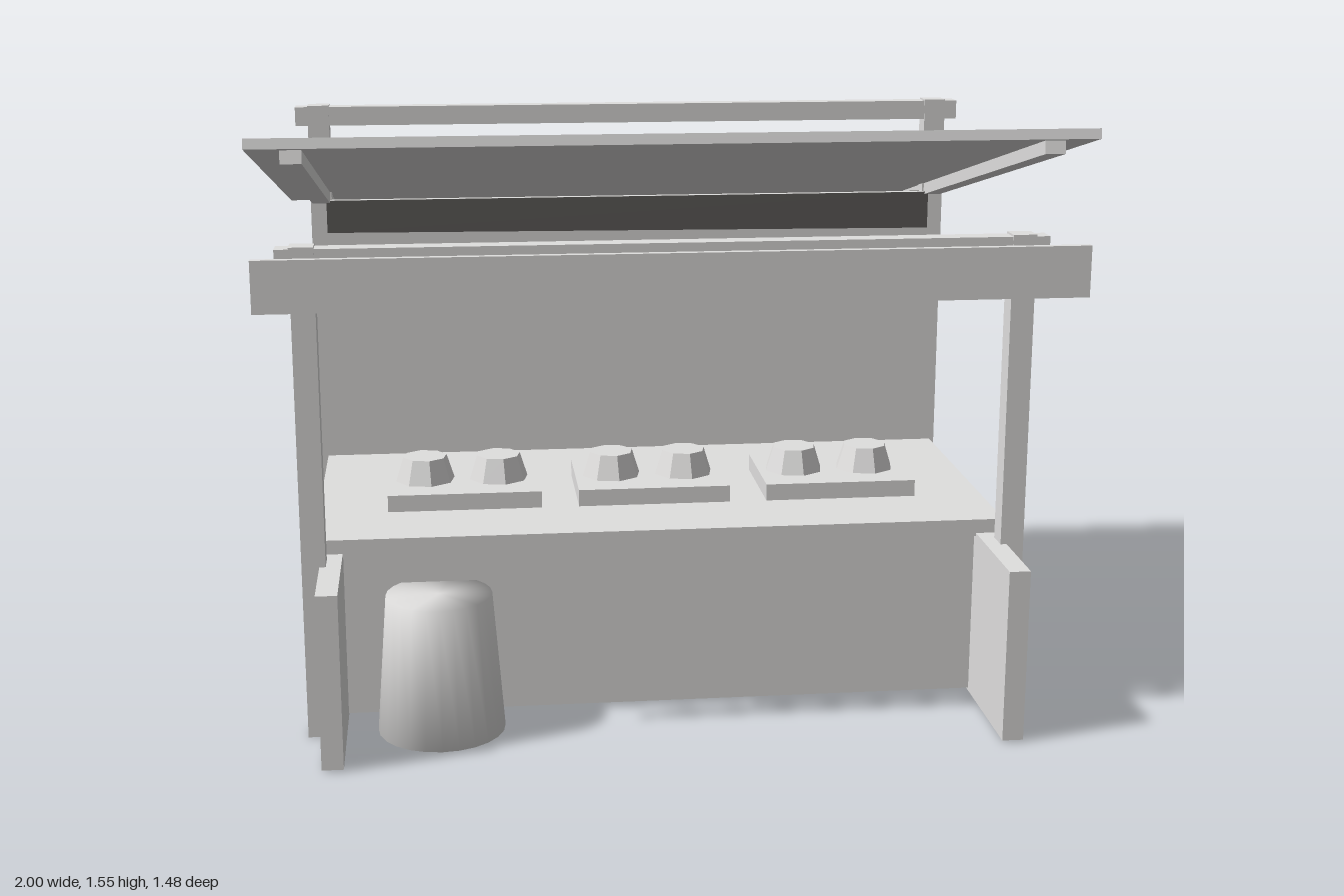
import * as THREE from 'three';

export function createModel() {
  const model = new THREE.Group();
  model.name = 'marketStall';
  const grey = new THREE.MeshStandardMaterial({ color: 0xe0dfde });
  grey.name = 'light grey';
  const dark = new THREE.MeshStandardMaterial({ color: 0x5f5d5a, side: THREE.DoubleSide });
  dark.name = 'dark grey';

  const add = (name, geometry, x, y, z, parent = model, material = grey) => {
    const mesh = new THREE.Mesh(geometry, material);
    mesh.name = name;
    mesh.position.set(x, y, z);
    parent.add(mesh);
    return mesh;
  };
  // Box given by its [min, max] range on each axis
  const box = (name, [x0, x1], [y0, y1], [z0, z1], parent = model, material = grey) =>
    add(name, new THREE.BoxGeometry(x1 - x0, y1 - y0, z1 - z0),
      (x0 + x1) / 2, (y0 + y1) / 2, (z0 + z1) / 2, parent, material);
  // Pair of boxes mirrored across x = 0
  const pair = (name, [x0, x1], y, z, parent = model) => {
    box(name + 'Left', [x0, x1], y, z, parent);
    box(name + 'Right', [-x1, -x0], y, z, parent);
  };
  // Flat painted patch from a few corner points
  const patch = points => new THREE.ShapeGeometry(
    new THREE.Shape(points.map(p => new THREE.Vector2(...p))));

  // Frame: posts and the beams across them
  pair('frontPost', [0.865, 0.925], [0, 1.265], [0.45, 0.51]);
  pair('backPost', [0.865, 0.925], [0, 1.51], [-0.51, -0.45]);
  box('frontBeam', [-0.96, 0.96], [1.205, 1.26], [0.453, 0.507]);
  box('backBeam', [-0.96, 0.96], [1.453, 1.506], [-0.507, -0.453]);

  // Sloping roof with a rafter under each side
  const roof = new THREE.Group();
  roof.name = 'roof';
  roof.position.y = 1.377;
  roof.rotation.x = -0.22;
  model.add(roof);
  box('roofBoard', [-1, 1], [-0.0125, 0.0125], [-0.755, 0.755], roof);
  pair('rafter', [0.87, 0.92], [-0.0445, -0.0125], [-0.73, 0.73], roof);

  // Fascia board
  box('fasciaBoard', [-1, 1], [1.143, 1.27], [0.693, 0.712]);

  // Back wall: light inside, dark outside, with a dark band along the top inside
  box('backWall', [-0.88, 0.88], [0.32, 1.24], [-0.458, -0.438]);
  box('backWallOutside', [-0.88, 0.88], [0.32, 1.24], [-0.461, -0.458], model, dark);
  add('backWallBand', patch([[-0.88, 1.147], [0.88, 1.133], [0.88, 1.24], [-0.88, 1.24]]),
    0, 0, -0.436, model, dark);

  // Counter and its panels
  box('counterTop', [-0.9, 0.9], [0.447, 0.492], [-0.405, 0.41]);
  box('counterFront', [-0.89, 0.89], [0.013, 0.447], [0.34, 0.393]);
  pair('sidePanel', [0.827, 0.881], [0.005, 0.455], [-0.04, 0.728]);

  // Dark upper back corner on the outside of each side panel
  for (const side of [-1, 1]) {
    add('sidePanelCorner', patch([[0.02, 0.45], [-0.04, 0.45], [-0.04, 0.37], [0.018, 0.425]]),
      side * 0.883, 0, 0, model, dark).rotation.y = -Math.PI / 2;
  }

  // Three trays, each with two faceted pots
  const potGeometry = new THREE.CylinderGeometry(0.06, 0.081, 0.066, 8).toNonIndexed();
  potGeometry.rotateY(0.2);
  potGeometry.computeVertexNormals();
  for (const x of [-0.51, 0, 0.51]) {
    box('tray', [x - 0.205, x + 0.205], [0.492, 0.537], [-0.125, 0.18]);
    for (const dx of [-0.105, 0.095]) add('pot', potGeometry, x + dx, 0.57, 0.027);
  }

  // Smooth tapered barrel in front of the counter
  const profile = [[0, 0], [0.163, 0], [0.135, 0.362], [0, 0.362]].map(p => new THREE.Vector2(...p));
  add('barrel', new THREE.LatheGeometry(profile, 24), -0.585, 0.005, 0.487);

  return model;
}
